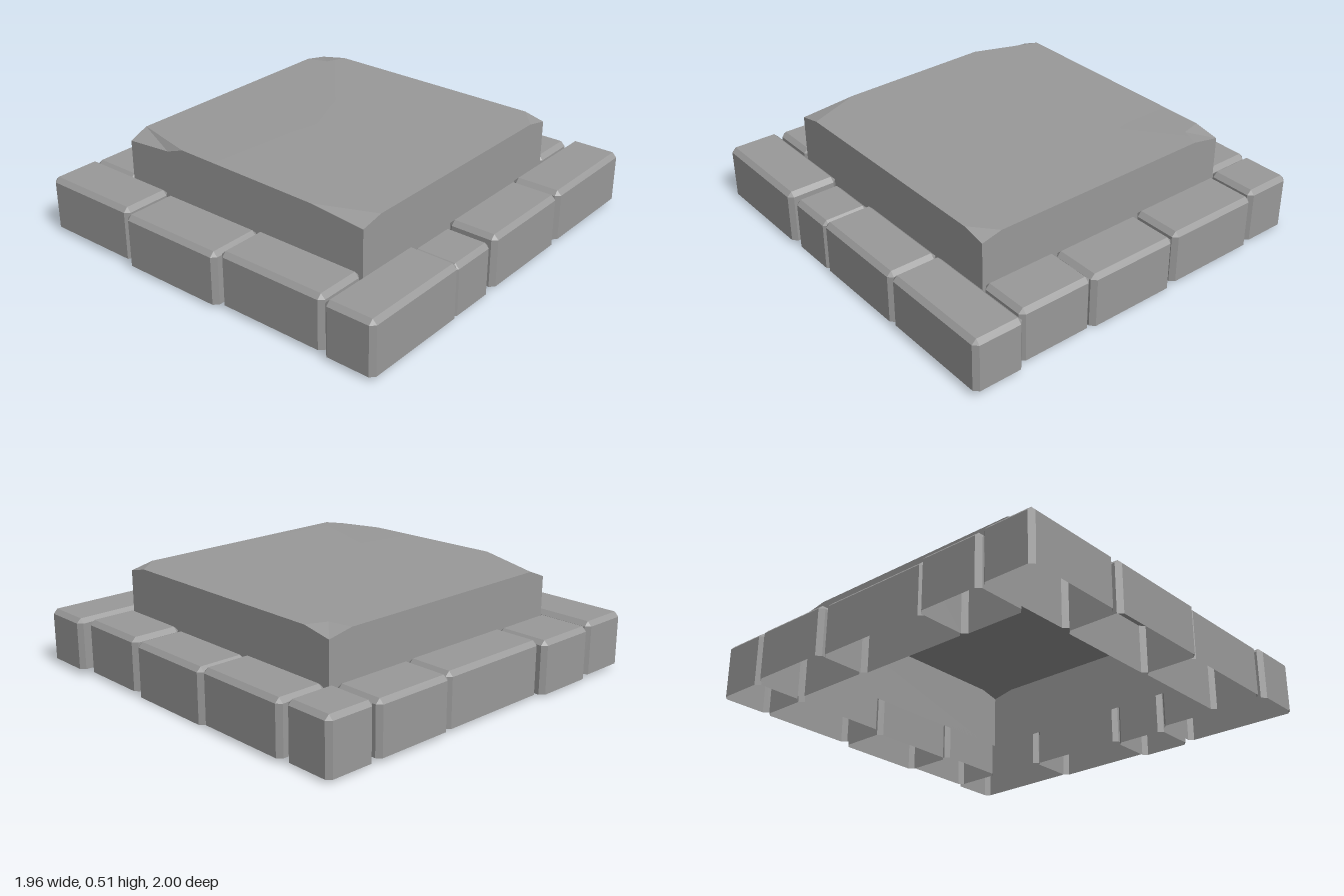
import * as THREE from 'three';
import { toCreasedNormals } from 'three/addons/utils/BufferGeometryUtils.js';

const material = new THREE.MeshStandardMaterial({ color: 0x999999, side: THREE.DoubleSide });

function meshFromTriangles(name, points) {
  const geometry = new THREE.BufferGeometry();
  geometry.setAttribute('position', new THREE.Float32BufferAttribute(points.flat(), 3));
  const mesh = new THREE.Mesh(toCreasedNormals(geometry, 0.1), material);
  mesh.name = name;
  return mesh;
}

// Brick with chamfered top and upright edges, open underneath
function brick(name, x0, x1, z0, z1, y0, y1, c = 0.022) {
  const a = x0 + c, b = x1 - c, f = z1 - c, k = z0 + c;
  const outline = [[a, z1], [b, z1], [x1, f], [x1, k], [b, z0], [a, z0], [x0, k], [x0, f]];
  const topOutline = [[a, f], [b, f], [b, f], [b, k], [b, k], [a, k], [a, k], [a, f]];
  const rings = [
    outline.map(([x, z]) => [x, y0, z]),
    outline.map(([x, z]) => [x, y1 - c, z]),
    topOutline.map(([x, z]) => [x, y1, z]),
  ];
  const t = [];
  for (let r = 0; r < 2; r++) {
    for (let i = 0; i < 8; i++) {
      const j = (i + 1) % 8, lo = rings[r], hi = rings[r + 1];
      t.push(lo[i], lo[j], hi[j]);
      // the chamfer closes to a point at each corner
      if (r === 0 || i % 2 === 0) t.push(lo[i], hi[j], hi[i]);
    }
  }
  const top = rings[2];
  t.push(top[0], top[1], top[3], top[0], top[3], top[5]);
  return meshFromTriangles(name, t);
}

// Hollow slab with a chipped facet at every corner
function slab() {
  const bottom = 0.19;
  const frontLeftChip = [[0.42, 0.501, 0.708], [0.703, 0.475, 0.708], [0.703, 0.5, 0.59]];
  const backLeftChip = [[0.703, 0.5, -0.58], [0.703, 0.475, -0.7], [0.6, 0.5, -0.7]];
  const backRightChip = [[-0.55, 0.503, -0.7], [-0.7, 0.475, -0.7], [-0.7, 0.5, -0.57]];
  const frontRightChip = [[-0.7, 0.502, 0.61], [-0.7, 0.462, 0.708], [-0.45, 0.48, 0.708], [-0.35, 0.515, 0.708]];
  const notch = [-0.59, 0.503, -0.6];
  const t = [];
  const fan = (centre, pts) => {
    for (let i = 0; i < pts.length - 1; i++) t.push(centre, pts[i], pts[i + 1]);
  };
  const ends = (chip) => [chip[0], chip[chip.length - 1]];
  // top
  fan([0, 0.505, 0], [
    ...ends(frontLeftChip), ...ends(backLeftChip), backRightChip[0], notch, backRightChip[2],
    ...ends(frontRightChip), frontLeftChip[0],
  ]);
  // corner facets
  for (const [first, ...rest] of [frontLeftChip, backLeftChip, frontRightChip]) fan(first, rest);
  fan(notch, backRightChip);
  // side walls
  const rim = [...frontLeftChip, ...backLeftChip, ...backRightChip, ...frontRightChip];
  rim.forEach((a, i) => {
    const b = rim[(i + 1) % rim.length];
    const a0 = [a[0], bottom, a[2]], b0 = [b[0], bottom, b[2]];
    t.push(a0, b0, b, a0, b, a);
  });
  return meshFromTriangles('slab', t);
}

export function createModel() {
  const group = new THREE.Group();
  group.name = 'stonePlinth';
  group.add(slab());

  // each brick: x0, x1, z0, z1, y0, y1
  const rows = {
    frontBrick: [
      [-0.975, -0.445, 0.715, 0.98, 0.025, 0.287],
      [-0.44, 0.125, 0.715, 1.0, 0.015, 0.273],
      [0.13, 0.705, 0.715, 0.975, 0.02, 0.282],
    ],
    backBrick: [
      [-0.685, -0.178, -0.96, -0.7, 0.02, 0.28],
      [-0.17, 0.31, -0.96, -0.7, 0.005, 0.27],
      [0.32, 0.705, -0.96, -0.7, 0.02, 0.28],
    ],
    leftBrick: [
      [0.72, 0.975, -1.0, -0.415, 0.03, 0.283],
      [0.72, 0.973, -0.41, 0.12, 0.02, 0.278],
      [0.72, 0.96, 0.13, 0.4, 0, 0.255],
      [0.72, 0.98, 0.405, 0.99, 0.02, 0.283],
    ],
    rightBrick: [
      [-0.957, -0.7, -0.942, -0.685, 0.015, 0.285],
      [-0.967, -0.705, -0.675, -0.25, 0.025, 0.28],
      [-0.953, -0.7, -0.245, 0.37, 0.02, 0.28],
      [-0.98, -0.7, 0.375, 0.71, 0.015, 0.275],
    ],
  };
  for (const [name, bricks] of Object.entries(rows)) {
    bricks.forEach((size, i) => group.add(brick(name + (i + 1), ...size)));
  }
  return group;
}
